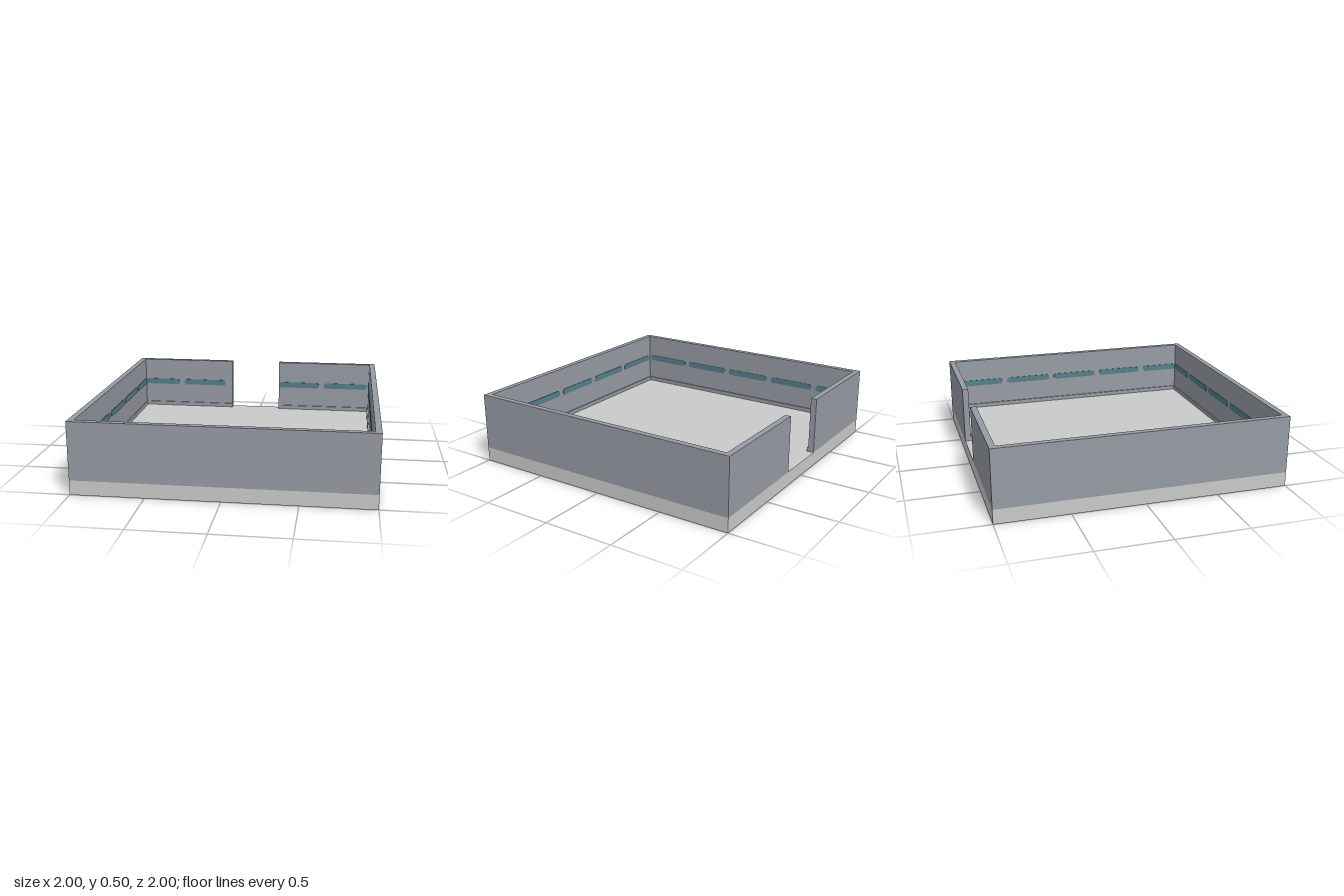
import * as THREE from 'three';

const wallMat = new THREE.MeshStandardMaterial({ name: 'wallGrey', color: 0x969ba3 });
const floorMat = new THREE.MeshStandardMaterial({ name: 'floorGrey', color: 0xcacaca });
const stripeMat = new THREE.MeshStandardMaterial({ name: 'stripeTeal', color: 0x527f8a });

const FLOOR = 0.1, TOP = 0.5, THICK = 0.042, SKIRT_H = 0.03, SKIRT_D = 0.01;

// Box given by its minimum and maximum corners
function box(name, mat, [x0, y0, z0], [x1, y1, z1]) {
  const mesh = new THREE.Mesh(new THREE.BoxGeometry(x1 - x0, y1 - y0, z1 - z0), mat);
  mesh.position.set((x0 + x1) / 2, (y0 + y1) / 2, (z0 + z1) / 2);
  mesh.name = name;
  return mesh;
}

// Thin painted dash with clipped corners
function dash(x0, x1) {
  const y0 = 0.287, y1 = 0.332, c = 0.014;
  const shape = new THREE.Shape([
    [x0 + c, y0], [x1 - c, y0], [x1, y0 + c], [x1, y1 - c],
    [x1 - c, y1], [x0 + c, y1], [x0, y1 - c], [x0, y0 + c],
  ].map(([x, y]) => new THREE.Vector2(x, y)));
  const mesh = new THREE.Mesh(
    new THREE.ExtrudeGeometry(shape, { depth: 0.004, bevelEnabled: false }), stripeMat);
  mesh.position.z = -1 + THICK;
  mesh.name = 'stripeDash';
  return mesh;
}

// Wall along local x at z = -1 facing inward; spans are its solid stretches
function wall(name, spans, flip, angle) {
  const group = new THREE.Group();
  group.name = name;
  const inner = -1 + THICK;
  for (const [a, b] of spans) {
    group.add(box('wallPanel', wallMat, [a, FLOOR, -1], [b, TOP, inner]));
    const s0 = Math.max(a, inner), s1 = Math.min(b, -inner);
    group.add(box('skirting', wallMat, [s0, FLOOR, inner], [s1, FLOOR + SKIRT_H, inner + SKIRT_D]));
    // Dashes repeat every 0.4 and are cut where the wall ends
    for (let i = 0; i < 5; i++) {
      const d0 = -1.02 + 0.4 * i, d1 = d0 + 0.36;
      const [m0, m1] = flip ? [-d1, -d0] : [d0, d1];
      const x0 = Math.max(m0, s0), x1 = Math.min(m1, s1);
      if (x1 - x0 > 0.05) group.add(dash(x0, x1));
    }
  }
  group.rotation.y = angle;
  return group;
}

export function createModel() {
  const model = new THREE.Group();
  model.name = 'walledRoom';
  model.add(box('floorSlab', floorMat, [-1, 0, -1], [1, FLOOR, 1]));

  // Back wall has the doorway; side walls fit between front and back
  const side = [[-1 + THICK, 1 - THICK]];
  model.add(wall('backWall', [[-1, -0.2], [0.2, 1]], false, 0));
  model.add(wall('frontWall', [[-1, 1]], false, Math.PI));
  model.add(wall('leftWall', side, true, -Math.PI / 2));
  model.add(wall('rightWall', side, true, Math.PI / 2));
  return model;
}
